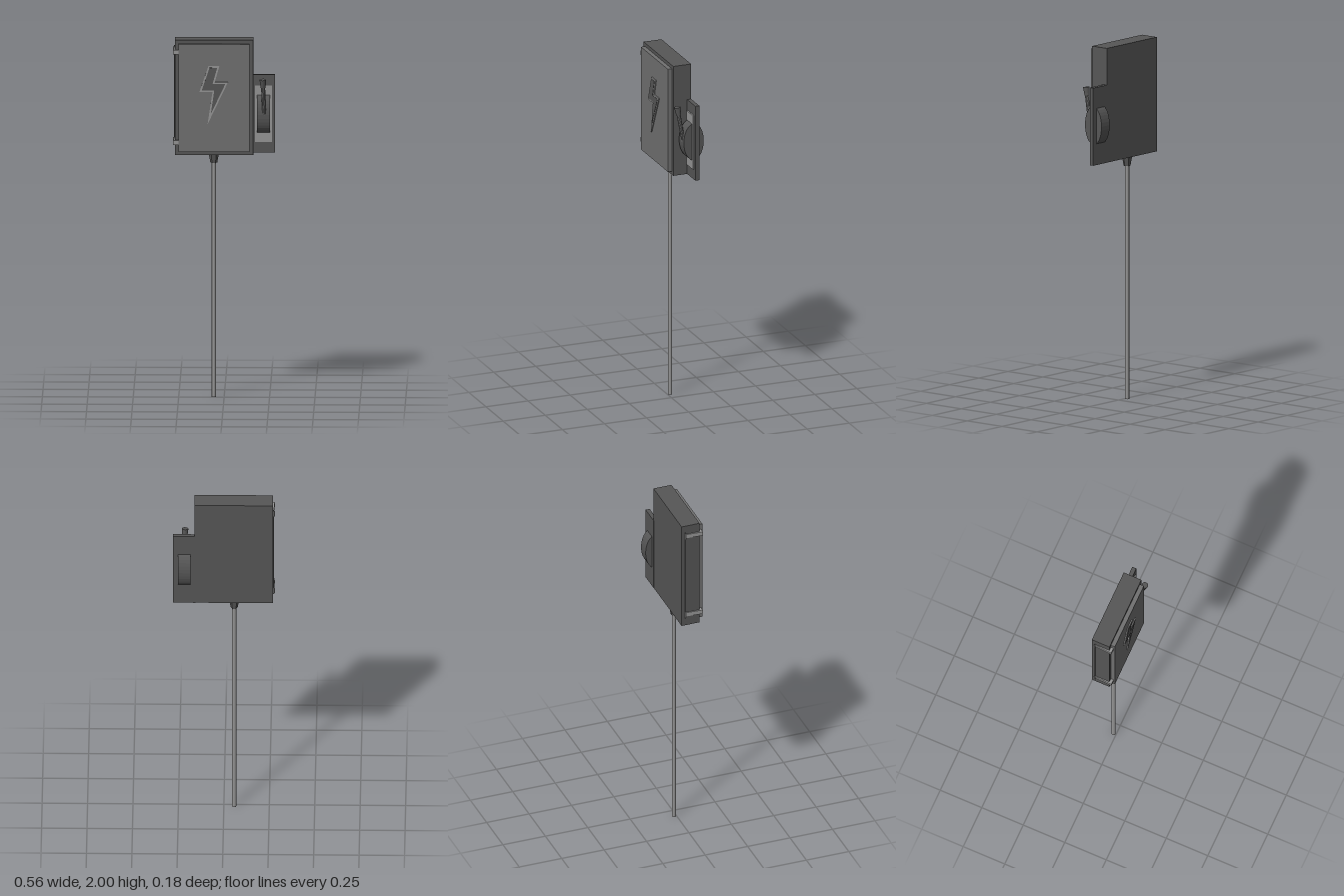
import * as THREE from 'three';

const paint = (color, flatShading = true) => new THREE.MeshStandardMaterial({ color, flatShading });
const dark = paint(0x565656);
const mid = paint(0x707070);
const light = paint(0x959595);
const poleGrey = paint(0x959595, false);

export function createModel() {
  const model = new THREE.Group();

  const add = (name, material, geometry, x = 0, y = 0, z = 0, parent = model) => {
    const mesh = new THREE.Mesh(geometry, material);
    mesh.name = name;
    mesh.position.set(x, y, z);
    parent.add(mesh);
    return mesh;
  };

  // Box given by its lower and upper corner
  const box = (name, material, x0, x1, y0, y1, z0, z1) =>
    add(name, material, new THREE.BoxGeometry(x1 - x0, y1 - y0, z1 - z0),
      (x0 + x1) / 2, (y0 + y1) / 2, (z0 + z1) / 2);

  // Flat outline given some depth
  const slab = (points, depth) => new THREE.ExtrudeGeometry(
    new THREE.Shape(points.map(([x, y]) => new THREE.Vector2(x, y))),
    { depth, bevelEnabled: false });

  // Cabinet and door
  box('cabinet', dark, -0.27, 0.161, 1.36, 2, -0.051, 0.055);
  box('door', mid, -0.25, 0.141, 1.38, 1.98, 0.055, 0.079);

  // Lightning sign: a pale outline with a smaller dark face on top
  add('signRim', light, slab([
    [-0.085, 1.86], [-0.025, 1.86], [-0.05, 1.77], [0.022, 1.77],
    [-0.09, 1.535], [-0.063, 1.715], [-0.135, 1.715],
  ], 0.006), 0, 0, 0.079);
  add('signFace', dark, slab([
    [-0.079, 1.851], [-0.037, 1.851], [-0.062, 1.761], [0.008, 1.761],
    [-0.072, 1.593], [-0.053, 1.724], [-0.122, 1.724],
  ], 0.002), 0, 0, 0.085);

  // Hinge arms, tapering toward a thin vertical pin
  const arm = [[-0.274, 0.03], [-0.268, 0.03], [-0.25, -0.055], [-0.25, -0.071], [-0.28, -0.071]];
  for (const y of [1.43, 1.935]) {
    add('hingeArm', light, slab(arm, 0.024), 0, y - 0.012, 0).rotation.x = -Math.PI / 2;
    add('hingeKnuckle', light, new THREE.CylinderGeometry(0.005, 0.005, 0.032, 8), -0.276, y, -0.03);
  }
  add('hingePin', dark, new THREE.CylinderGeometry(0.003, 0.003, 0.55, 6), -0.273, 1.683, -0.03);

  // Switch mounting plate and its raised inset
  box('switchPlate', dark, 0.155, 0.279, 1.36, 1.795, -0.052, -0.028);
  box('switchInset', light, 0.171, 0.262, 1.42, 1.735, -0.028, -0.02);

  // Oval switch drum, lying along x and passing through the plate
  const drum = new THREE.CylinderGeometry(1, 1, 0.07, 32).rotateZ(Math.PI / 2).scale(1, 0.107, 0.059);
  add('switchDrum', dark, drum, 0.217, 1.578, -0.03);

  // Lever leaning forward from the drum, with a flared grip
  const lever = new THREE.Group();
  lever.name = 'switchLever';
  lever.position.set(0.221, 1.57, 0.018);
  lever.rotation.set(0.165, 0, 0.035);
  add('leverStem', mid, new THREE.CylinderGeometry(0.012, 0.01, 0.18, 10), 0, 0.085, 0, lever);
  add('leverGrip', dark, new THREE.CylinderGeometry(0.018, 0.014, 0.045, 12), 0, 0.19, 0, lever);
  model.add(lever);

  // Pole and the collar that carries the cabinet
  add('pole', poleGrey, new THREE.CylinderGeometry(0.012, 0.012, 1.33, 8), -0.057, 0.665, -0.015);
  add('collar', dark, new THREE.CylinderGeometry(0.029, 0.019, 0.055, 6).rotateY(Math.PI / 6), -0.057, 1.3345, -0.014);

  return model;
}
